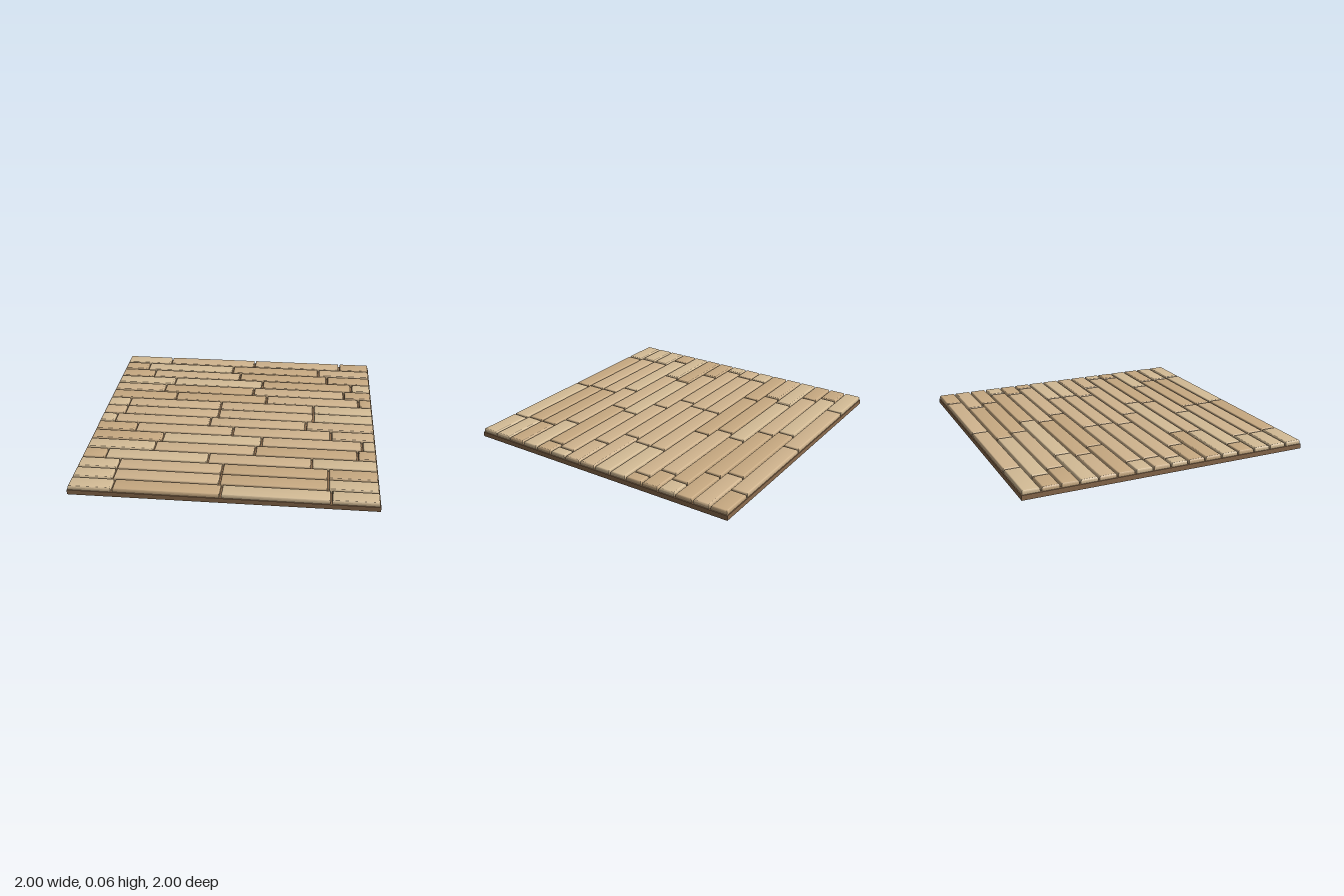
import * as THREE from 'three';
import { toCreasedNormals } from 'three/addons/utils/BufferGeometryUtils.js';

const ROW = 0.125, PITCH = 0.7, GAP = 0.012, TOP = 0.061, BASE = 0.033, BEVEL = 0.011;

// Per row, back to front: x of the first joint, then the tones of its planks
const ROWS = [
  [-0.64, 'LMMD'], [-0.81, 'DLDM'], [-0.74, 'DMDD'], [-0.55, 'LLDL'],
  [-0.61, 'MDMD'], [-0.5, 'DDMD'], [-0.84, 'LMML'], [-0.84, 'MMML'],
  [-0.89, 'LMMM'], [-0.71, 'DMMM'], [-0.495, 'DLML'], [-0.53, 'LMDD'],
  [-0.84, 'DLML'], [-0.73, 'LMDD'], [-0.73, 'LMDL'], [-0.71, 'LDLL'],
];

const tone = (color) => new THREE.MeshStandardMaterial({ color });
const TONES = { L: tone(0xd4bc96), M: tone(0xd0b48e), D: tone(0xc8aa82) };

// Plank with eased edges; its lower bevel is sunk into the base board
function plankGeometry(length, width) {
  const x = length / 2 - BEVEL, y = width / 2 - BEVEL;
  const shape = new THREE.Shape([
    new THREE.Vector2(-x, -y), new THREE.Vector2(x, -y),
    new THREE.Vector2(x, y), new THREE.Vector2(-x, y),
  ]);
  const bottom = BASE - BEVEL - 0.002;
  const geometry = new THREE.ExtrudeGeometry(shape, {
    depth: TOP - bottom - 2 * BEVEL,
    bevelEnabled: true, bevelSize: BEVEL, bevelThickness: BEVEL, bevelSegments: 3,
  });
  geometry.rotateX(-Math.PI / 2);
  geometry.translate(0, bottom + BEVEL, 0);
  return toCreasedNormals(geometry, 0.7);
}

export function createModel() {
  const floor = new THREE.Group();
  floor.name = 'plankFloor';

  // Base board showing in the gaps
  const base = new THREE.Mesh(new THREE.BoxGeometry(2, BASE, 2), tone(0x8b6b4d));
  base.name = 'baseBoard';
  base.position.y = BASE / 2;
  floor.add(base);

  // Rows of planks with staggered joints
  ROWS.forEach(([joint, tones], i) => {
    const row = new THREE.Group();
    row.name = `plankRow${i + 1}`;
    row.position.z = -1 + ROW * (i + 0.5);
    const edges = [-1, joint, joint + PITCH, joint + 2 * PITCH, 1];
    for (let k = 0; k < 4; k++) {
      const length = edges[k + 1] - edges[k] - GAP;
      const plank = new THREE.Mesh(plankGeometry(length, ROW - GAP), TONES[tones[k]]);
      plank.name = 'plank';
      plank.position.x = (edges[k] + edges[k + 1]) / 2;
      row.add(plank);
    }
    floor.add(row);
  });
  return floor;
}
